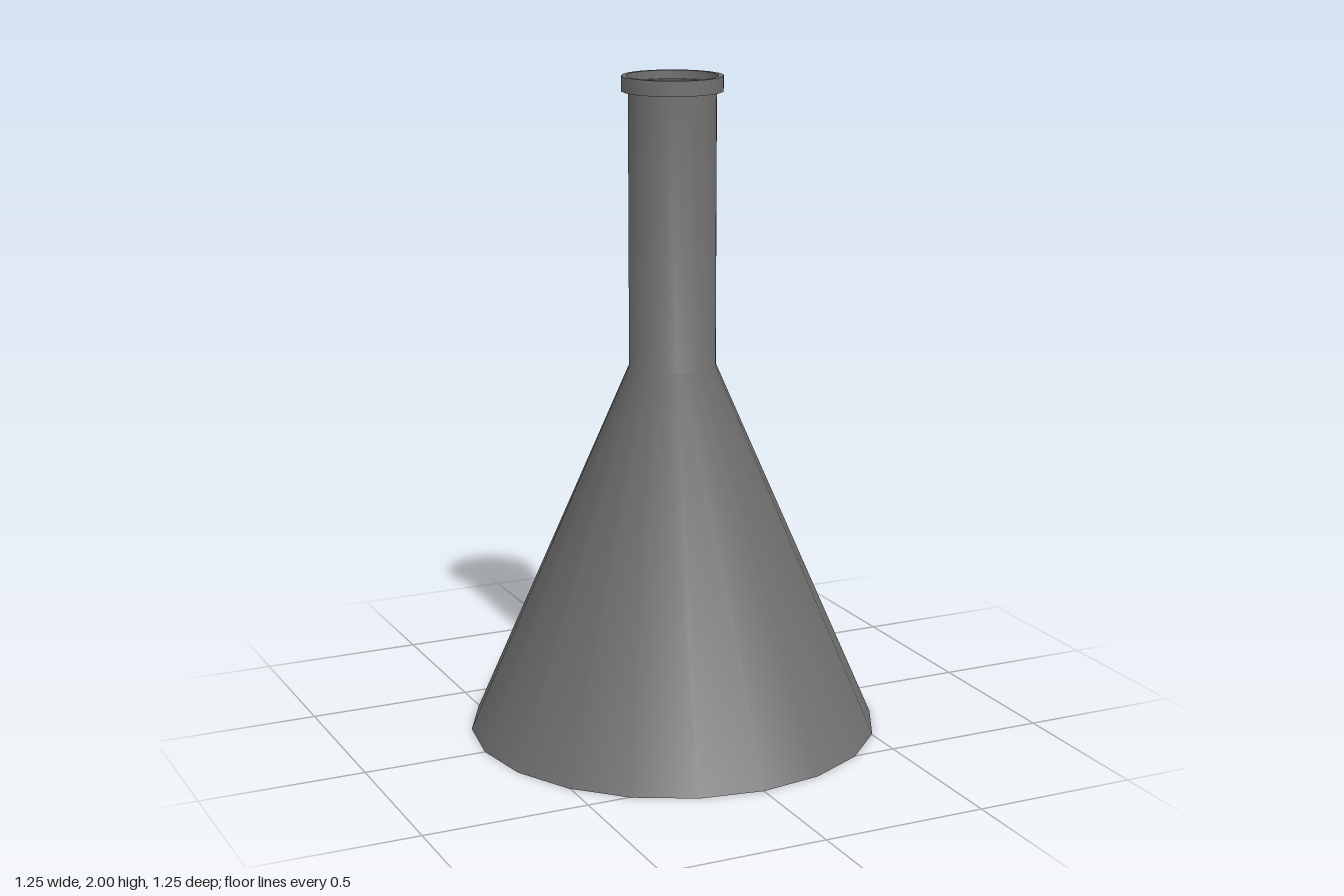
import * as THREE from 'three';
import { toCreasedNormals } from 'three/addons/utils/BufferGeometryUtils.js';

const SIDES = 20;

export function createModel() {
  const group = new THREE.Group();
  group.name = 'flask';
  const material = new THREE.MeshStandardMaterial({ color: 0x707070 });

  // Revolves a [radius, height] profile; gentle bends stay smooth, corners sharp
  const turned = (name, profile) => {
    const points = profile.map(([r, y]) => new THREE.Vector2(r, y));
    const geometry = toCreasedNormals(new THREE.LatheGeometry(points, SIDES), 0.6);
    const mesh = new THREE.Mesh(geometry, material);
    mesh.name = name;
    group.add(mesh);
  };

  // Flat base, conical body and straight neck
  turned('outerWall', [[0, 0], [0.623, 0], [0.131, 1.135], [0.131, 1.955]]);

  // Raised collar around the mouth, with a small step inside
  turned('lip', [[0.131, 1.955], [0.151, 1.955], [0.151, 2], [0.136, 2], [0.136, 1.975], [0.126, 1.975]]);

  // Hollow interior: tapering bore, inner cone and floor
  turned('innerWall', [[0.126, 1.975], [0.103, 1.13], [0.585, 0.02], [0, 0.02]]);

  return group;
}
